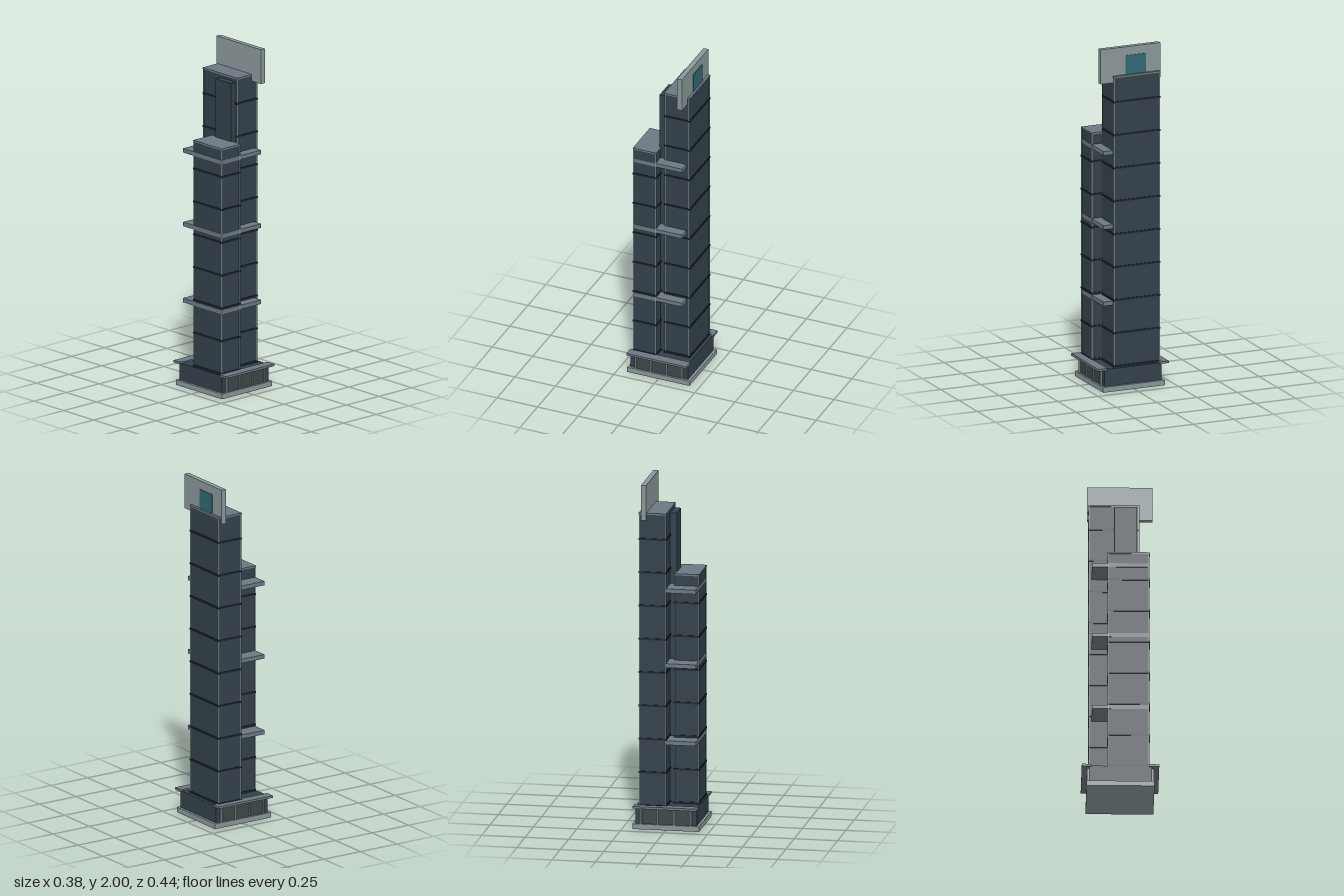
import * as THREE from 'three';

const material = (color) => new THREE.MeshStandardMaterial({ color });

export function createModel() {
  const model = new THREE.Group();
  model.name = 'skyscraper';

  const glass = material(0x33404a);
  const bandDark = material(0x1f272d);
  const concrete = material(0x8a9698);
  const slab = material(0x6c7882);
  const lobbyGlass = material(0x3c4648);
  const teal = material(0x2f6873);

  // Box given by its lower and upper limits on each axis
  function block(parent, name, mat, [x0, x1], [y0, y1], [z0, z1]) {
    const mesh = new THREE.Mesh(new THREE.BoxGeometry(x1 - x0, y1 - y0, z1 - z0), mat);
    mesh.position.set((x0 + x1) / 2, (y0 + y1) / 2, (z0 + z1) / 2);
    mesh.name = name;
    parent.add(mesh);
    return mesh;
  }

  const grow = ([a, b], d) => [a - d, b + d];

  // Podium: plinth, body, and a colonnade with canopy at front and back
  const podium = new THREE.Group();
  podium.name = 'podium';
  model.add(podium);
  block(podium, 'plinth', concrete, [-0.192, 0.192], [0, 0.03], [-0.192, 0.192]);
  block(podium, 'podiumBody', glass, [-0.177, 0.177], [0.03, 0.13], [-0.178, 0.178]);
  for (const side of [-1, 1]) {
    const span = (a, b) => (side > 0 ? [a, b] : [-b, -a]);
    block(podium, 'lobbyGlazing', lobbyGlass, [-0.145, 0.145], [0.03, 0.125], span(0.17, 0.181));
    block(podium, 'canopy', slab, [-0.185, 0.185], [0.125, 0.138], span(0.162, 0.219));
    for (let i = 0; i < 4; i++) {
      const x = -0.144 + i * 0.096;
      block(podium, 'column', concrete, [x - 0.005, x + 0.005], [0.03, 0.125], span(0.179, 0.19));
    }
  }

  // Tower: glazed shaft, corner strips, floor bands and roof slab
  function tower(name, xs, zs, top) {
    const group = new THREE.Group();
    group.name = name;
    model.add(group);
    block(group, 'shaft', glass, xs, [0.13, top - 0.01], zs);
    for (const x of xs) {
      for (const z of zs) {
        block(group, 'cornerStrip', concrete, [x - 0.004, x + 0.002].map((v) => v + 0.001),
          [0.13, top - 0.01], [z - 0.003, z + 0.003]);
      }
    }
    for (let y = 0.136; y < top - 0.16 + 0.02; y += 0.1937) {
      block(group, 'floorBand', bandDark, grow(xs, 0.005), [y - 0.005, y + 0.005], grow(zs, 0.005));
    }
    block(group, 'roofSlab', slab, grow(xs, 0.004), [top - 0.01, top], grow(zs, 0.004));
  }
  tower('tallTower', [0.004, 0.154], [-0.174, 0.106], 1.838);
  tower('lowTower', [-0.165, -0.029], [-0.069, 0.162], 1.467);

  // Lift core between the towers
  block(model, 'core', glass, [-0.035, 0.005], [0.13, 1.81], [-0.033, 0.095]);

  // Sky terraces tying the towers together
  for (const y of [0.502, 0.951, 1.386]) {
    block(model, 'skyTerrace', slab, [-0.168, 0.135], [y - 0.012, y + 0.012], [-0.161, 0.1635]);
  }

  // Rooftop fin with coloured panel on the outer side
  block(model, 'roofFin', concrete, [0.113, 0.143], [1.797, 2], [-0.185, 0.185]);
  block(model, 'finPanel', teal, [0.14, 0.146], [1.838, 1.95], [-0.095, 0.032]);

  return model;
}
